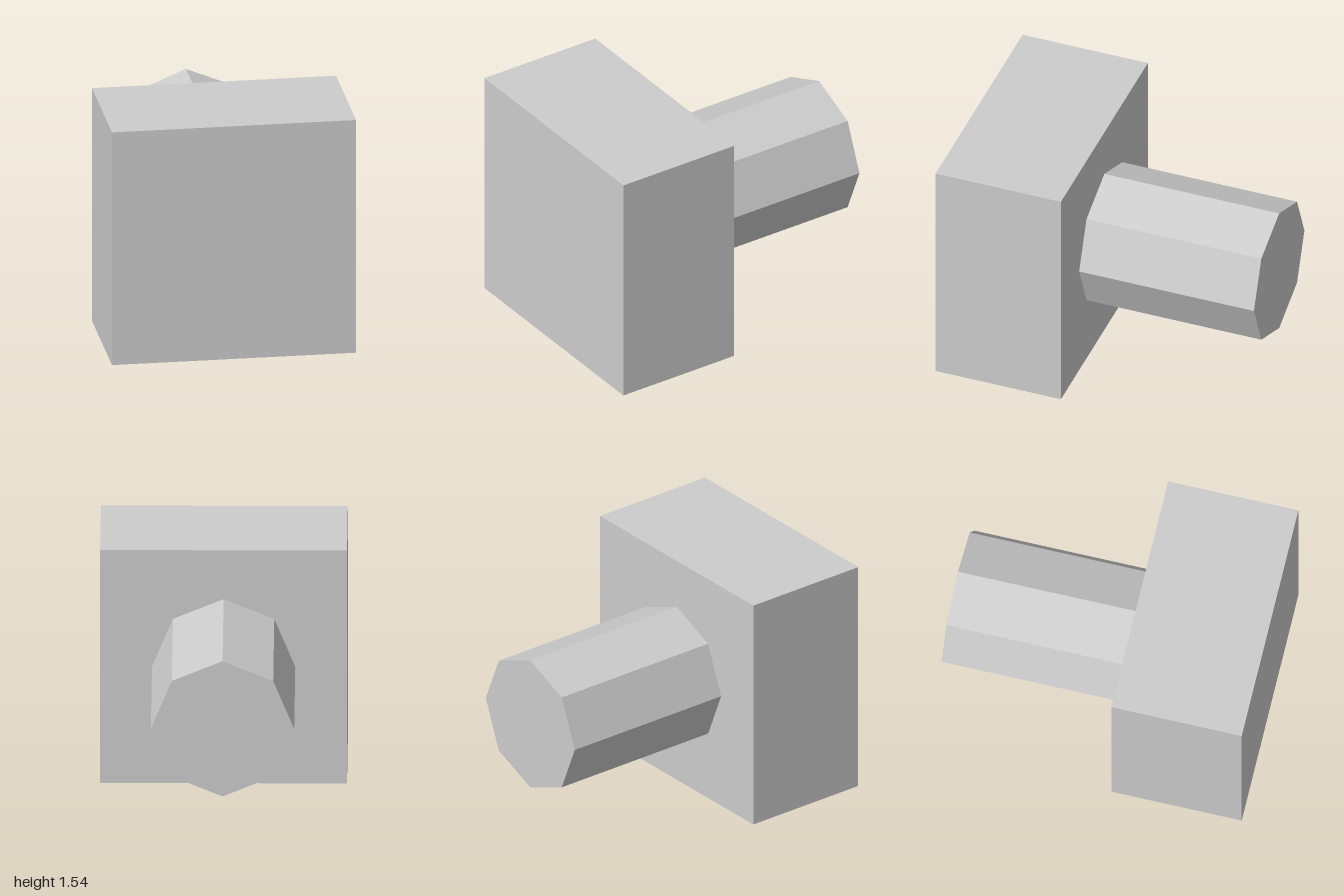
import * as THREE from 'three';

export function createModel() {
  const model = new THREE.Group();
  model.name = 'malletShape';

  const grey = new THREE.MeshStandardMaterial({ color: 0xcccccc, flatShading: true });
  grey.name = 'light grey';

  const size = 1.54;     // width and height of the block
  const joinZ = 0.165;   // plane where the shaft meets the block
  const frontZ = 1, backZ = -1;

  // Square block at the front
  const block = new THREE.Mesh(new THREE.BoxGeometry(size, size, frontZ - joinZ), grey);
  block.name = 'block';
  block.position.set(0, size / 2, (frontZ + joinZ) / 2);

  // Eight-sided shaft running to the back, one corner straight up
  const shaft = new THREE.Mesh(new THREE.CylinderGeometry(0.447, 0.447, joinZ - backZ, 8), grey);
  shaft.name = 'shaft';
  shaft.rotation.x = Math.PI / 2;
  shaft.position.set(0, size / 2, (joinZ + backZ) / 2);

  model.add(block, shaft);
  return model;
}
